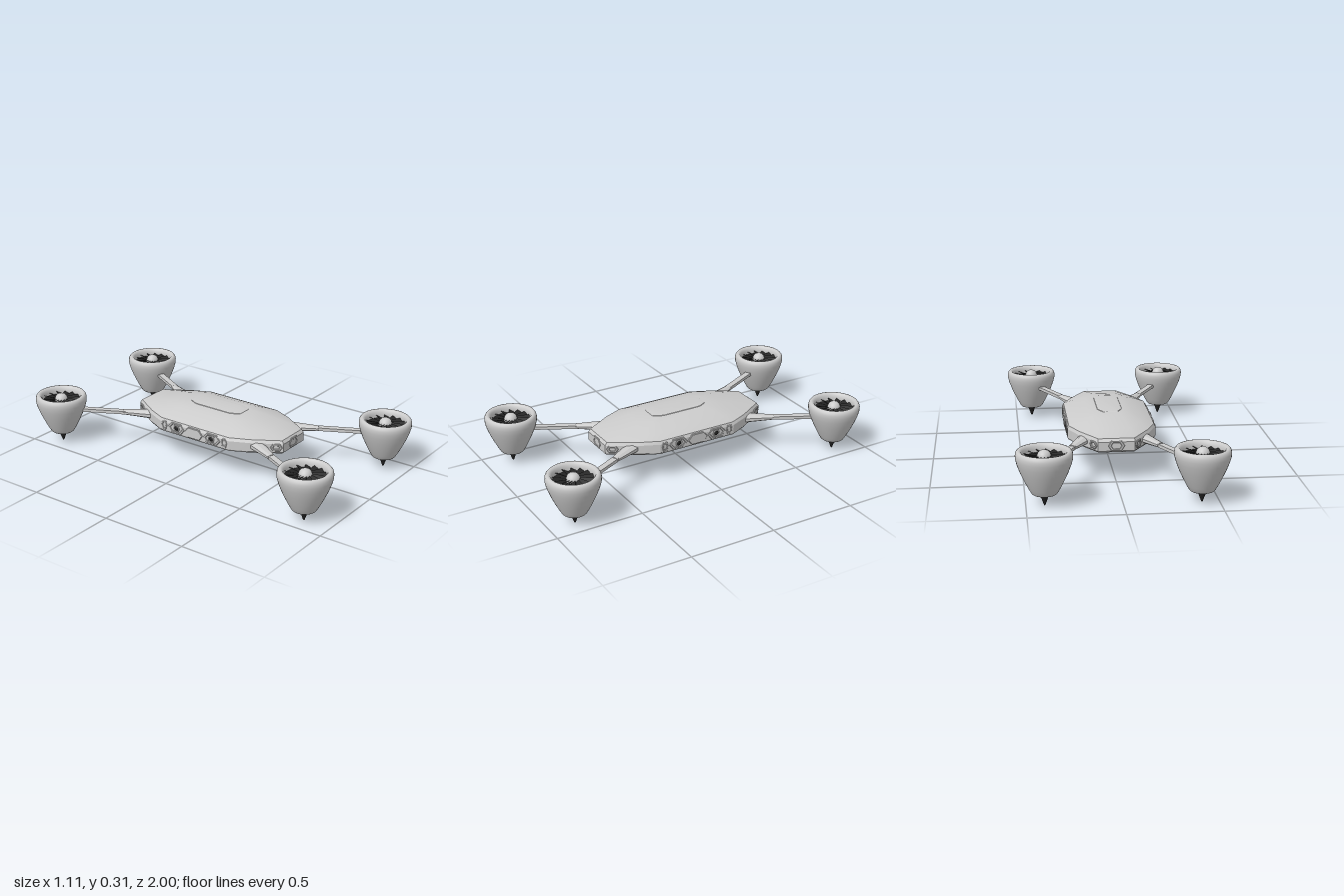
import * as THREE from 'three';
import { toCreasedNormals, mergeVertices } from 'three/addons/utils/BufferGeometryUtils.js';

const grey = new THREE.MeshStandardMaterial({ color: 0xcccccc });
const greyFlat = new THREE.MeshStandardMaterial({ color: 0xcccccc, flatShading: true });
const black = new THREE.MeshStandardMaterial({ color: 0x222222 });
const blackThin = new THREE.MeshStandardMaterial({ color: 0x2a2a2a, side: THREE.DoubleSide });

function add(parent, name, geometry, material, x = 0, y = 0, z = 0) {
  const mesh = new THREE.Mesh(geometry, material);
  mesh.name = name;
  mesh.position.set(x, y, z);
  parent.add(mesh);
  return mesh;
}

const lathe = (points, segments = 48) =>
  new THREE.LatheGeometry(points.map(([r, y]) => new THREE.Vector2(r, y)), segments);

// One twelve-cornered hull outline: y, half width, end half width, straight half length, half length
function ring([y, b, a, c, d]) {
  const mx = a + (b - a) * 0.66, mz = c + (d - c) * 0.42;
  const q = [[b, c], [mx, mz], [a, d]];
  const r = [...q].reverse();
  return [
    ...q, ...r.map(([x, z]) => [-x, z]),
    ...q.map(([x, z]) => [-x, -z]), ...r.map(([x, z]) => [x, -z]),
  ].map(([x, z]) => [x, y, z]);
}

// Skin stacked outlines from bottom to top and cap both ends
function loft(layers, crease) {
  const n = 12, pos = layers.flatMap((l) => ring(l).flat()), index = [];
  for (let k = 0; k < layers.length - 1; k++) {
    for (let i = 0; i < n; i++) {
      const j = (i + 1) % n, p = k * n;
      index.push(p + i, p + n + i, p + j, p + j, p + n + i, p + n + j);
    }
  }
  const top = (layers.length - 1) * n;
  for (let i = 1; i < n - 1; i++) {
    index.push(0, i, i + 1, top, top + i + 1, top + i);
  }
  const g = new THREE.BufferGeometry();
  g.setAttribute('position', new THREE.Float32BufferAttribute(pos, 3));
  g.setIndex(index);
  return toCreasedNormals(mergeVertices(g), crease);
}

// Elongated hexagonal frame lying in the xy plane, facing +z
function hexFrame(w, h, depth, hole = 0.7) {
  const outline = (s) => [[-1, 0], [-0.6, -1], [0.6, -1], [1, 0], [0.6, 1], [-0.6, 1]]
    .map(([x, y]) => new THREE.Vector2(x * w * s, y * h * s));
  const shape = new THREE.Shape(outline(1));
  if (hole) shape.holes.push(new THREE.Path(outline(hole).reverse()));
  return new THREE.ExtrudeGeometry(shape, {
    depth, bevelEnabled: true, bevelSize: 0.003, bevelThickness: 0.003, bevelSegments: 1,
  });
}

function createHull() {
  const hull = new THREE.Group();
  hull.name = 'hull';
  add(hull, 'shell', loft([
    [0.158, 0.215, 0.085, 0.23, 0.46],
    [0.168, 0.240, 0.095, 0.24, 0.495],
    [0.178, 0.246, 0.100, 0.24, 0.507],
    [0.228, 0.246, 0.100, 0.24, 0.507],
    [0.245, 0.238, 0.098, 0.235, 0.495],
    [0.268, 0.190, 0.085, 0.21, 0.385],
    [0.291, 0.125, 0.065, 0.17, 0.27],
    [0.302, 0.080, 0.050, 0.13, 0.19],
  ], 0.4), grey);
  add(hull, 'roofPanel', loft([
    [0.296, 0.075, 0.045, 0.12, 0.18],
    [0.304, 0.068, 0.042, 0.115, 0.17],
    [0.307, 0.050, 0.030, 0.10, 0.15],
  ], 0.4), grey);
  // Faceted belly pan with a flatter centre panel
  add(hull, 'bellyPan', loft([
    [0.119, 0.030, 0.020, 0.13, 0.17],
    [0.127, 0.090, 0.050, 0.17, 0.23],
    [0.152, 0.155, 0.075, 0.22, 0.36],
    [0.165, 0.165, 0.080, 0.22, 0.38],
  ], 0.2), greyFlat);

  // Sensor panels on the long sides
  for (const side of [1, -1]) {
    const bank = new THREE.Group();
    bank.name = side > 0 ? 'leftSensorBank' : 'rightSensorBank';
    bank.position.set(side * 0.242, 0.208, 0);
    bank.rotation.y = side * Math.PI / 2;
    hull.add(bank);
    add(bank, 'centrePanel', hexFrame(0.06, 0.028, 0.006, 0), greyFlat);
    for (const s of [1, -1]) {
      add(bank, 'cameraFrame', hexFrame(0.055, 0.027, 0.004, 0.8), greyFlat, s * 0.125);
      add(bank, 'cameraRing', new THREE.TorusGeometry(0.017, 0.004, 8, 24), grey, s * 0.122, 0, 0.005);
      const lens = add(bank, 'cameraLens', new THREE.SphereGeometry(0.014, 16, 12), black, s * 0.122, 0, 0.003);
      lens.scale.z = 0.5;
      add(bank, 'sidePanel', hexFrame(0.018, 0.024, 0.003, 0.7), greyFlat, s * 0.21);
    }
  }

  // Sensor panels on the nose and tail and on their slanted corners
  for (const end of [1, -1]) {
    const bank = new THREE.Group();
    bank.name = end > 0 ? 'noseSensors' : 'tailSensors';
    bank.rotation.y = end > 0 ? 0 : Math.PI;
    hull.add(bank);
    add(bank, 'endFrame', hexFrame(0.042, 0.026, 0.003, 0.75), greyFlat, 0, 0.207, 0.504);
    for (const s of [1, -1]) {
      const p = add(bank, 'cornerFrame', hexFrame(0.03, 0.018, 0.003, 0.7), greyFlat, s * 0.121, 0.207, 0.473);
      p.rotation.y = s * 1.01;
    }
  }
  return hull;
}

function createFan(name, x, z) {
  const fan = new THREE.Group();
  fan.name = name;
  fan.position.set(x, 0, z);
  // Tapered duct: outer skin up over the rim, then down the inner wall
  add(fan, 'duct', lathe([
    [0.055, 0.066], [0.062, 0.065], [0.068, 0.070], [0.084, 0.098], [0.104, 0.138], [0.124, 0.182],
    [0.139, 0.222], [0.147, 0.252], [0.148, 0.272], [0.145, 0.286], [0.138, 0.295], [0.129, 0.297],
    [0.120, 0.293], [0.113, 0.283], [0.110, 0.268], [0.110, 0.245], [0.095, 0.17], [0.055, 0.075],
    [0.055, 0.066],
  ]), grey);
  add(fan, 'rotorBacking', new THREE.CylinderGeometry(0.11, 0.11, 0.006, 40), black, 0, 0.25, 0);
  const blades = new THREE.Group();
  blades.name = 'rotor';
  fan.add(blades);
  const count = 14;
  for (let i = 0; i < count; i++) {
    const arm = new THREE.Group();
    arm.rotation.y = (i / count) * Math.PI * 2;
    blades.add(arm);
    const blade = add(arm, 'blade', new THREE.BoxGeometry(0.08, 0.002, 0.028), blackThin, 0.068, 0.263, 0);
    blade.rotation.x = 0.5;
  }
  add(fan, 'hub', lathe([
    [0.038, 0.25], [0.037, 0.268], [0.032, 0.283], [0.022, 0.293], [0.010, 0.298], [0, 0.299],
  ], 32), grey);
  add(fan, 'exhaustFloor', new THREE.CylinderGeometry(0.06, 0.058, 0.006, 32), black, 0, 0.078, 0);
  add(fan, 'tailSpike', lathe([
    [0, 0], [0.005, 0.006], [0.015, 0.035], [0.024, 0.058], [0.030, 0.08],
  ], 24), black);
  return fan;
}

// Strut from the hull corner to a fan, with a tapered socket at its root
function createArm(name, x, z) {
  const root = new THREE.Vector3(Math.sign(x) * 0.155, 0.207, Math.sign(z) * 0.36);
  const span = new THREE.Vector3(x, 0.207, z).sub(root);
  const arm = new THREE.Group();
  arm.name = name;
  arm.position.copy(root);
  arm.rotation.y = Math.atan2(span.x, span.z);
  const length = span.length() - 0.11;
  add(arm, 'strut', new THREE.BoxGeometry(0.036, 0.018, length), greyFlat, 0, 0, length / 2);
  const socket = new THREE.CylinderGeometry(0.023, 0.045, 0.19, 8);
  socket.rotateY(Math.PI / 8).rotateX(Math.PI / 2).scale(1, 0.6, 1);
  add(arm, 'socket', socket, greyFlat, 0, 0, 0.085);
  return arm;
}

export function createModel() {
  const model = new THREE.Group();
  model.name = 'quadFanDrone';
  model.add(createHull());
  const fans = [
    ['frontLeft', 0.405, 0.852], ['frontRight', -0.407, 0.842],
    ['backLeft', 0.403, -0.826], ['backRight', -0.407, -0.852],
  ];
  for (const [corner, x, z] of fans) {
    model.add(createArm(corner + 'Arm', x, z), createFan(corner + 'Fan', x, z));
  }
  return model;
}
